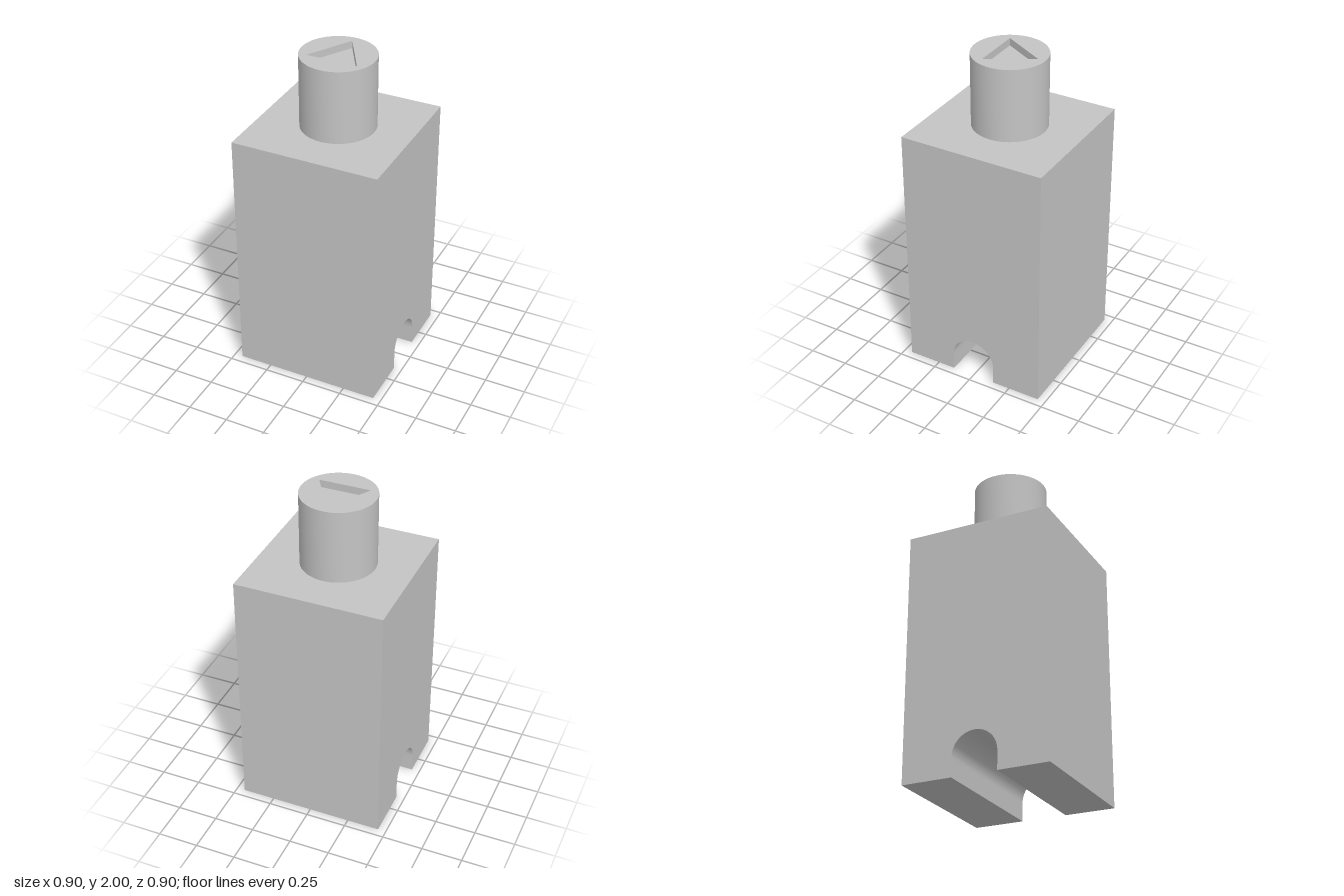
import * as THREE from 'three';
import { toCreasedNormals } from 'three/addons/utils/BufferGeometryUtils.js';

export function createModel() {
  const model = new THREE.Group();
  const grey = new THREE.MeshStandardMaterial({ color: 0xc4c4c4 });
  grey.name = 'light grey';

  const add = (name, geometry) => {
    const mesh = new THREE.Mesh(geometry, grey);
    mesh.name = name;
    model.add(mesh);
    return mesh;
  };
  const extrude = (shape, depth) => toCreasedNormals(
    new THREE.ExtrudeGeometry(shape, { depth, bevelEnabled: false, curveSegments: 32 }), 0.6);

  // Square block with a round-topped channel running along x through its base
  const half = 0.45, bodyTop = 1.55, slot = 0.14, spring = 0.115;
  const profile = new THREE.Shape();
  profile.moveTo(-half, 0);
  profile.lineTo(-slot, 0);
  profile.lineTo(-slot, spring);
  profile.absarc(0, spring, slot, Math.PI, 0, true);
  profile.lineTo(slot, 0);
  profile.lineTo(half, 0);
  profile.lineTo(half, bodyTop);
  profile.lineTo(-half, bodyTop);
  profile.closePath();
  add('body', extrude(profile, 2 * half).translate(0, 0, -half).rotateY(Math.PI / 2));

  // Round stem with a triangular socket in its top
  const triangle = [0, 1, 2].map((i) => {
    const a = Math.PI / 2 + (i * 2 * Math.PI) / 3;
    return new THREE.Vector2(0.18 * Math.cos(a), 0.18 * Math.sin(a));
  });
  const disc = new THREE.Shape().absarc(0, 0, 0.225, 0, 2 * Math.PI, false);
  disc.holes.push(new THREE.Path([...triangle].reverse()).closePath());
  add('stem', extrude(disc, 0.45).rotateX(-Math.PI / 2)).position.y = bodyTop;

  // Floor of the shallow socket
  const floor = new THREE.ShapeGeometry(new THREE.Shape(triangle)).rotateX(-Math.PI / 2);
  add('socketFloor', floor).position.y = 1.955;

  return model;
}
